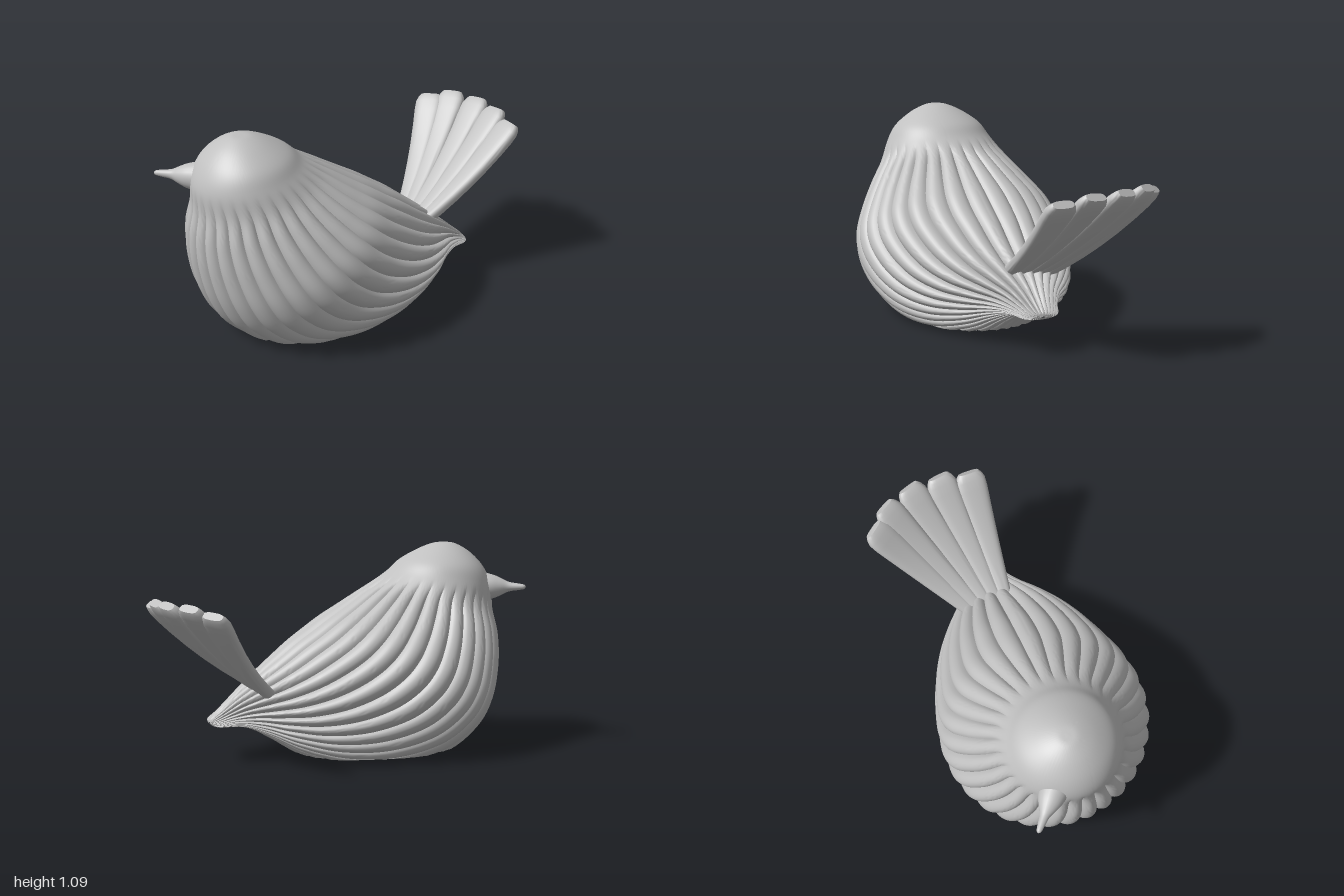
import * as THREE from 'three';
import { toCreasedNormals } from 'three/addons/utils/BufferGeometryUtils.js';

const V = (x, y, z) => new THREE.Vector3(x, y, z);
const { smoothstep, lerp } = THREE.MathUtils;
const MID = -0.055; // z of the body's plane of symmetry

// Skin closed rings of points into one surface
function loft(rings, crease) {
  const n = rings[0].length;
  const pos = rings.flat().flatMap((p) => [p.x, p.y, p.z]);
  const idx = [];
  for (let i = 0; i < rings.length - 1; i++) {
    for (let j = 0; j < n; j++) {
      const k = (j + 1) % n;
      const a = i * n + j, b = i * n + k, c = a + n, d = b + n;
      idx.push(a, b, c, b, d, c);
    }
  }
  const g = new THREE.BufferGeometry();
  g.setAttribute('position', new THREE.Float32BufferAttribute(pos, 3));
  g.setIndex(idx);
  return toCreasedNormals(g, crease);
}

// Body stations: back point x, y; breast/belly point x, y; half width
const STATIONS = [
  [-0.65, 1.085, -0.65, 1.085, 0],
  [-0.59, 1.08, -0.71, 1.078, 0.06],
  [-0.51, 1.05, -0.79, 1.03, 0.145],
  [-0.41, 0.995, -0.86, 0.95, 0.235],
  [-0.34, 0.935, -0.9, 0.85, 0.285],
  [-0.25, 0.875, -0.9, 0.72, 0.335],
  [-0.16, 0.82, -0.922, 0.58, 0.4],
  [-0.07, 0.765, -0.915, 0.42, 0.47],
  [0.03, 0.705, -0.87, 0.24, 0.535],
  [0.12, 0.645, -0.78, 0.09, 0.552],
  [0.21, 0.585, -0.6, -0.04, 0.53],
  [0.3, 0.515, -0.32, -0.1, 0.48],
  [0.39, 0.445, -0.04, -0.08, 0.4],
  [0.47, 0.38, 0.2, 0, 0.3],
  [0.55, 0.315, 0.36, 0.095, 0.2],
  [0.62, 0.255, 0.5, 0.165, 0.135],
  [0.67, 0.215, 0.65, 0.175, 0.09],
  [0.68, 0.197, 0.68, 0.193, 0.01],
];

// Smooth head running into a ribbed body, cut flat on the ground
function bodyGeometry() {
  const back = new THREE.CatmullRomCurve3(STATIONS.map((s) => V(s[0], s[1], s[4])), false, 'catmullrom');
  const belly = new THREE.CatmullRomCurve3(STATIONS.map((s) => V(s[2], s[3], s[4])), false, 'catmullrom');
  const feathers = 30, around = feathers * 10, along = 96;
  const rings = [];
  for (let i = 0; i <= along; i++) {
    const t = i / along, station = t * (STATIONS.length - 1);
    const u = back.getPoint(t), l = belly.getPoint(t);
    const depth = 0.03 * smoothstep(station, 4, 5.8) * (1 - 0.75 * smoothstep(station, 13, 16.5));
    const ring = [];
    for (let j = 0; j < around; j++) {
      const a = (j / around) * Math.PI * 2;
      const off = V(((u.x - l.x) / 2) * Math.cos(a), ((u.y - l.y) / 2) * Math.cos(a), u.z * Math.sin(a));
      const rib = Math.pow(Math.abs(Math.sin((a * feathers) / 2)), 0.7);
      off.multiplyScalar(1 + (depth * (rib - 0.75)) / Math.max(off.length(), 0.05));
      ring.push(V((u.x + l.x) / 2 + off.x, Math.max(0, (u.y + l.y) / 2 + off.y), MID + off.z));
    }
    rings.push(ring);
  }
  return loft(rings, 0.6);
}

// Rounded, widening feather bending gently upward from base to tip
function featherGeometry(base, tip, tipSide) {
  const middle = base.clone().lerp(tip, 0.5).add(V(0.025, -0.05, 0));
  const path = new THREE.QuadraticBezierCurve3(base, middle, tip);
  const rings = [];
  const steps = [0, 0.001, 0.15, 0.3, 0.45, 0.6, 0.75, 0.87, 0.94, 0.975, 0.993, 1, 1];
  steps.forEach((s, i) => {
    const end = i === 0 || i === steps.length - 1 ? 0 : Math.sqrt(1 - Math.pow(Math.max(0, (s - 0.9) / 0.1), 2) * 0.6);
    const c = path.getPoint(s), tangent = path.getTangent(s);
    const side = V(0, 0, 1).lerp(tipSide, s);
    side.addScaledVector(tangent, -side.dot(tangent)).normalize();
    const normal = side.clone().cross(tangent);
    const w = lerp(0.036, 0.088, s) * end, h = lerp(0.03, 0.036, s) * end;
    const ring = [];
    for (let j = 0; j < 28; j++) {
      const a = (j / 28) * Math.PI * 2;
      const soft = (v) => Math.sign(v) * Math.pow(Math.abs(v), 0.7);
      ring.push(c.clone().addScaledVector(normal, h * soft(Math.cos(a))).addScaledVector(side, w * soft(Math.sin(a))));
    }
    rings.push(ring);
  });
  return loft(rings, 0.8);
}

export function createModel() {
  const group = new THREE.Group();
  const grey = new THREE.MeshStandardMaterial({ color: 0xc0c0c0 });
  grey.name = 'plain grey';
  const add = (parent, name, geometry) => {
    const mesh = new THREE.Mesh(geometry, grey);
    mesh.name = name;
    parent.add(mesh);
    return mesh;
  };

  add(group, 'body', bodyGeometry());

  // Beak, set on the side the head is turned to
  const profile = [[0.075, 0], [0.062, 0.05], [0.045, 0.09], [0.026, 0.13], [0.018, 0.18], [0.012, 0.212], [0, 0.222]];
  const beak = add(group, 'beak', new THREE.LatheGeometry(
    new THREE.SplineCurve(profile.map((p) => new THREE.Vector2(...p))).getPoints(24), 24));
  beak.position.set(-0.83, 0.85, -0.19);
  beak.quaternion.setFromUnitVectors(V(0, 1, 0), V(-0.17, 0.005, -0.14).normalize());

  // Raised tail fan of five feathers
  const tail = new THREE.Group();
  tail.name = 'tail';
  group.add(tail);
  const tips = [V(0.965, 0.815, -0.01), V(0.985, 0.84, -0.17), V(0.975, 0.845, -0.34), V(0.91, 0.845, -0.495), V(0.82, 0.815, -0.585)];
  tips.forEach((tip, i) => {
    const base = V(0.4, 0.365 - 0.006 * i, -0.005 - 0.051 * i);
    const side = tips[Math.max(0, i - 1)].clone().sub(tips[Math.min(4, i + 1)]).normalize();
    add(tail, 'tailFeather' + (i + 1), featherGeometry(base, tip, side));
  });
  return group;
}
